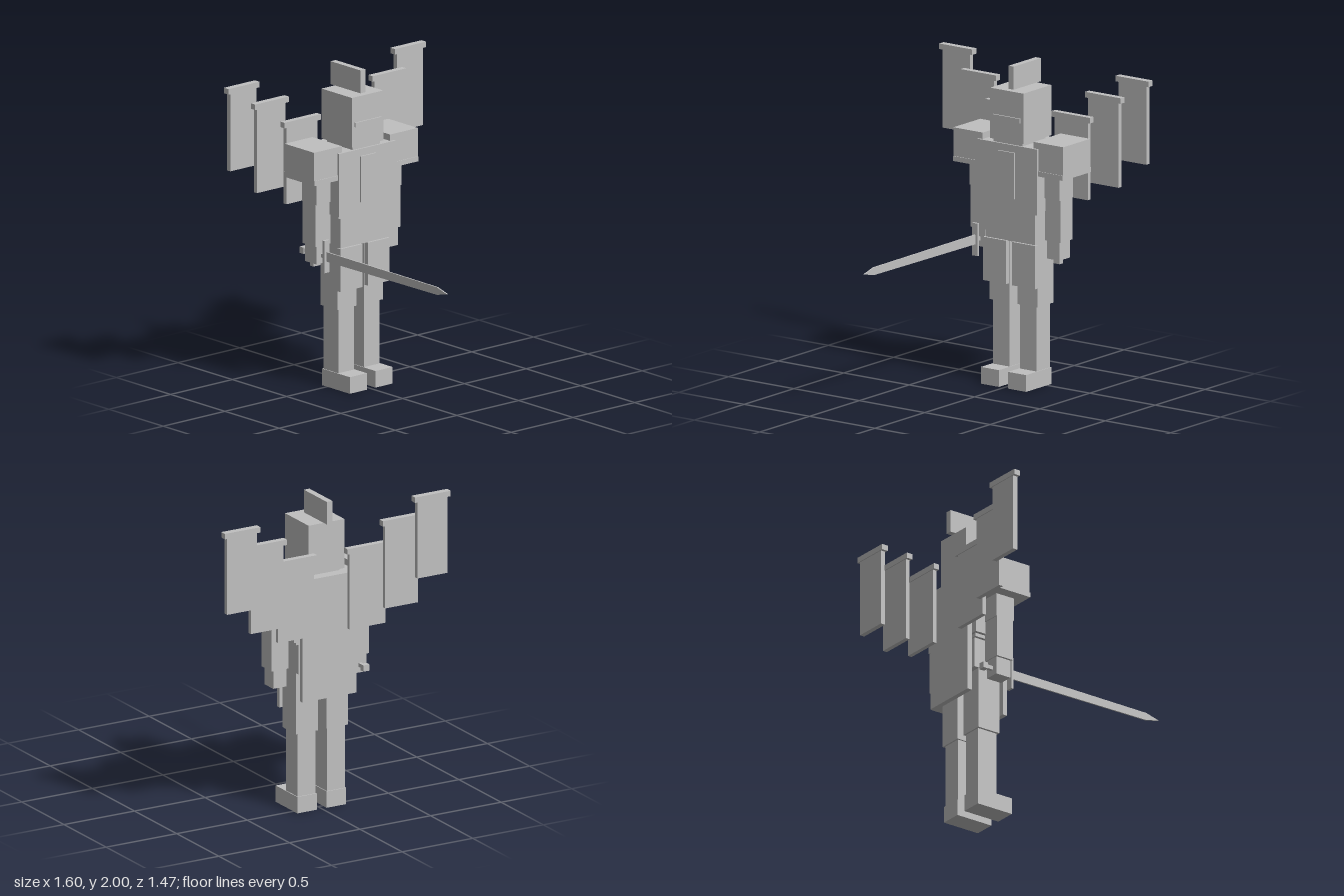
import * as THREE from 'three';

export function createModel() {
  const model = new THREE.Group();
  model.name = 'wingedKnight';
  const stone = new THREE.MeshStandardMaterial({ color: 0xc0c0c0 });
  stone.name = 'plain grey';

  // Box given by its limits on each axis
  function box(name, x0, x1, y0, y1, z0, z1) {
    const mesh = new THREE.Mesh(new THREE.BoxGeometry(x1 - x0, y1 - y0, z1 - z0), stone);
    mesh.position.set((x0 + x1) / 2, (y0 + y1) / 2, (z0 + z1) / 2);
    mesh.name = name;
    model.add(mesh);
  }
  // Same box on both sides of the body
  function pair(name, x0, x1, ...rest) {
    box(name + 'Left', x0, x1, ...rest);
    box(name + 'Right', -x1, -x0, ...rest);
  }

  // Head
  box('helmet', -0.127, 0.127, 1.54, 1.855, -0.603, -0.323);
  box('crest', -0.02, 0.02, 1.855, 2, -0.64, -0.367);
  box('visor', -0.105, 0.105, 1.667, 1.695, -0.33, -0.313);
  box('neck', -0.11, 0.11, 1.51, 1.545, -0.57, -0.335);

  // Body
  box('chest', -0.23, 0.23, 1.12, 1.52, -0.605, -0.323);
  box('chestPanel', -0.062, 0.062, 1.185, 1.475, -0.33, -0.313);
  box('waistBand', -0.208, 0.208, 1.098, 1.122, -0.59, -0.352);
  box('abdomen', -0.188, 0.188, 0.905, 1.1, -0.583, -0.36);
  box('cape', -0.19, 0.19, 0.74, 1.52, -0.638, -0.605);

  // Legs
  pair('skirtPlate', 0.022, 0.198, 0.635, 0.907, -0.375, -0.345);
  pair('thigh', 0.03, 0.183, 0.51, 0.91, -0.55, -0.39);
  pair('shin', 0.04, 0.167, 0.1, 0.512, -0.54, -0.402);
  pair('foot', 0.035, 0.173, 0, 0.105, -0.547, -0.29);

  // Arms
  pair('shoulderPad', 0.195, 0.42, 1.38, 1.56, -0.609, -0.338);
  pair('shoulderRim', 0.195, 0.42, 1.35, 1.381, -0.615, -0.333);
  pair('upperArm', 0.225, 0.345, 1.2, 1.355, -0.535, -0.402);
  pair('forearm', 0.225, 0.345, 0.935, 1.2, -0.53, -0.41);
  pair('hand', 0.235, 0.33, 0.82, 0.936, -0.524, -0.418);

  // Wing feathers: outer x, inner x, bottom, top, back, front
  const feathers = [
    [0.4, 0.107, 1.163, 1.683, -0.671, -0.632],
    [0.612, 0.34, 1.267, 1.832, -0.703, -0.662],
    [0.8, 0.548, 1.433, 1.958, -0.737, -0.694],
  ];
  for (const [xo, xi, y0, y1, z0, z1] of feathers) {
    pair('wingPlate', xi + 0.02, xo - 0.02, y0, y1 - 0.03, z0 + 0.006, z1 - 0.006);
    pair('wingCap', xi, xo, y1 - 0.035, y1, z0, z1);
  }

  // Sword in the right hand, pointing forward
  box('swordGuard', -0.305, -0.263, 0.768, 0.972, -0.392, -0.375);
  box('swordGrip', -0.295, -0.273, 0.858, 0.882, -0.57, -0.385);
  box('swordPommel', -0.305, -0.263, 0.85, 0.89, -0.602, -0.567);
  const outline = new THREE.Shape([
    [-0.38, 0.84], [0.643, 0.847], [0.737, 0.87], [0.643, 0.895], [-0.38, 0.9],
  ].map(([z, y]) => new THREE.Vector2(-z, y)));
  const blade = new THREE.Mesh(
    new THREE.ExtrudeGeometry(outline, { depth: 0.009, bevelEnabled: false }), stone);
  blade.rotation.y = Math.PI / 2;
  blade.position.x = -0.2885;
  blade.name = 'swordBlade';
  model.add(blade);

  return model;
}
